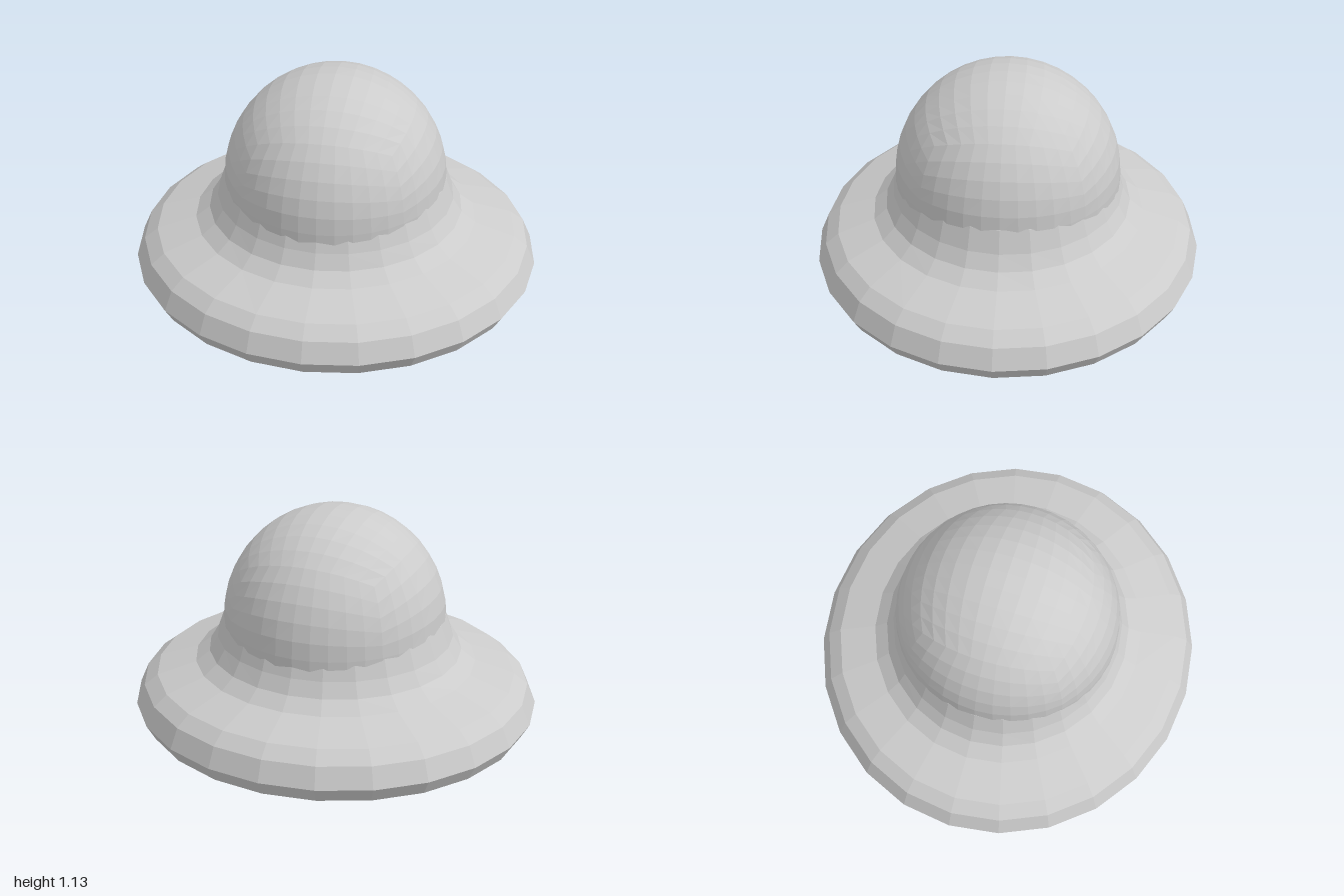
import * as THREE from 'three';

const SIDES = 24;
const DOME_Y = 0.58;

function material() {
  return new THREE.MeshStandardMaterial({ color: 0xcccccc, flatShading: true });
}

// Moves every vertex of a geometry by a rule
function reshape(geometry, rule) {
  const pos = geometry.attributes.position;
  const v = new THREE.Vector3();
  for (let i = 0; i < pos.count; i++) {
    rule(v.fromBufferAttribute(pos, i));
    pos.setXYZ(i, v.x, v.y, v.z);
  }
  geometry.computeVertexNormals();
  return geometry;
}

// Wide rim with a shallow underside and a neck that rises into the dome
function createRim() {
  const profile = [
    [0, 0], [0.36, 0.003], [0.66, 0.02], [0.957, 0.075], [1, 0.152],
    [0.957, 0.25], [0.89, 0.303], [0.695, 0.365], [0.625, 0.42],
    [0.582, 0.49], [0.543, 0.6], [0.49, 0.64], [0, 0.64],
  ].map(([r, y]) => new THREE.Vector2(r, y));
  const geometry = reshape(new THREE.LatheGeometry(profile, SIDES), (v) => {
    // slightly narrower front to back, rounder towards the neck
    v.z *= THREE.MathUtils.mapLinear(THREE.MathUtils.clamp(v.y, 0.3, 0.5), 0.3, 0.5, 0.954, 0.975);
  });
  const rim = new THREE.Mesh(geometry, material());
  rim.name = 'rim';
  return rim;
}

// Dome: a cube rounded into a sphere, with its lower part straightened
function createDome() {
  const n = 10;
  const warp = (t) => Math.tan(t * Math.PI / 4);
  const geometry = reshape(new THREE.BoxGeometry(2, 2, 2, n, n, n), (v) => {
    v.set(warp(v.x), warp(v.y), warp(v.z)).normalize();
    if (v.y < 0) {
      const flat = Math.hypot(v.x, v.z);
      const grow = flat > 0.7 ? 1 / flat : 1.4;
      v.x *= grow;
      v.z *= grow;
      v.y = Math.max(v.y, -0.25);
    }
    v.multiply(new THREE.Vector3(0.543, 0.547, 0.55));
  });
  const dome = new THREE.Mesh(geometry, material());
  dome.name = 'dome';
  dome.position.y = DOME_Y;
  return dome;
}

export function createModel() {
  const model = new THREE.Group();
  model.name = 'domedSaucer';
  model.add(createRim(), createDome());
  return model;
}
